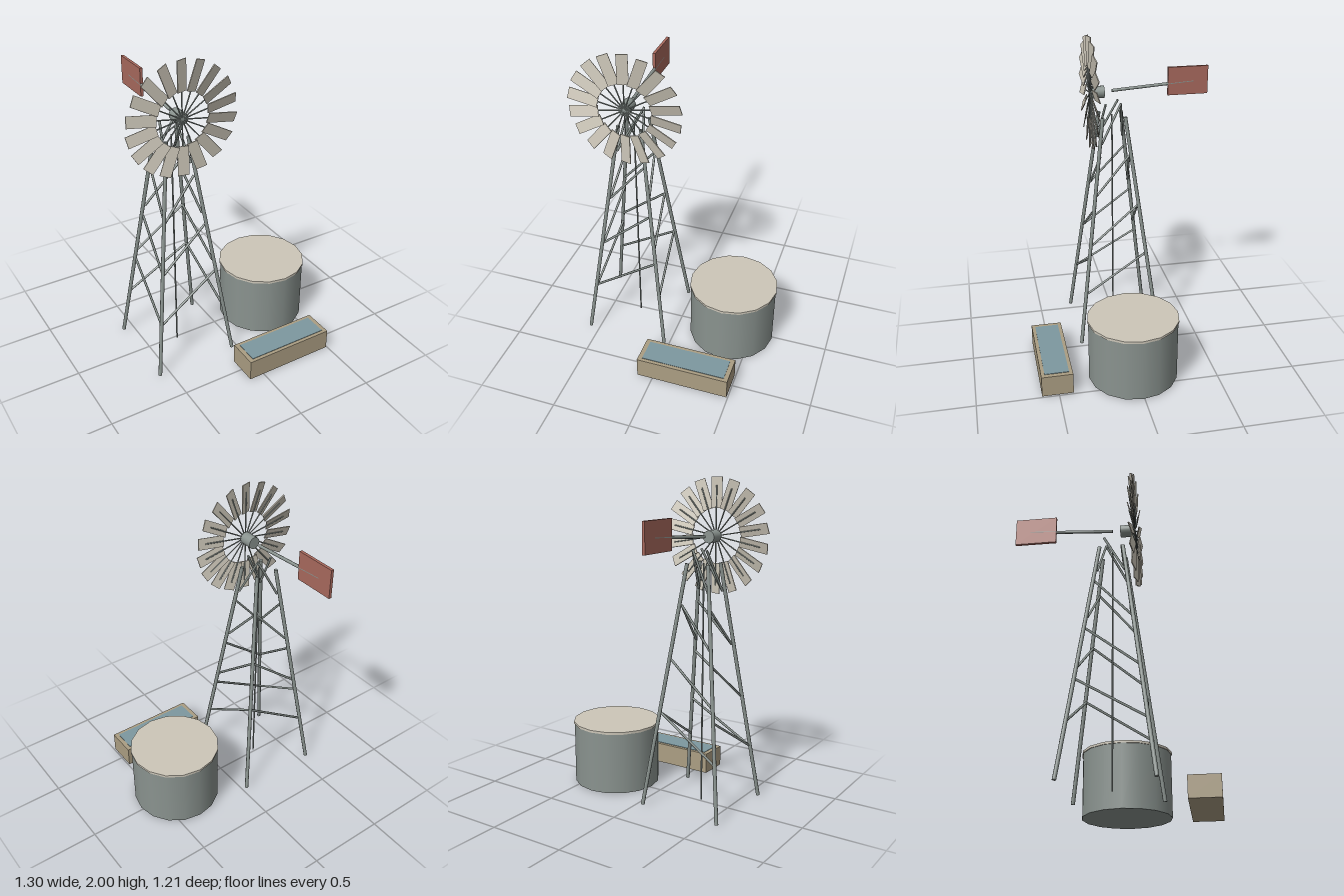
import * as THREE from 'three';

const mat = (color) => new THREE.MeshStandardMaterial({ color });
const CX = -0.3, CZ = 0.015; // tower axis
const WHEEL_Y = 1.65, WHEEL_Z = 0.157;

export function createModel() {
  const metal = mat(0x8a938f), pale = mat(0xcdc7b9), red = mat(0xa8695d);
  const tan = mat(0xab9e83), blue = mat(0x7d98a0);
  const model = new THREE.Group();

  const add = (parent, name, geometry, material, x = 0, y = 0, z = 0) => {
    const mesh = new THREE.Mesh(geometry, material);
    mesh.name = name;
    mesh.position.set(x, y, z);
    parent.add(mesh);
    return mesh;
  };

  // Round bar between two points
  const bar = (parent, name, a, b, r, sides = 8) => {
    const from = new THREE.Vector3(...a), to = new THREE.Vector3(...b);
    const dir = to.clone().sub(from);
    const mesh = add(parent, name, new THREE.CylinderGeometry(r, r, dir.length(), sides), metal);
    mesh.position.copy(from).add(to).multiplyScalar(0.5);
    mesh.quaternion.setFromUnitVectors(new THREE.Vector3(0, 1, 0), dir.normalize());
    return mesh;
  };

  // Tower: four leaning legs with one rising diagonal per bay on each face
  const tower = new THREE.Group();
  tower.name = 'tower';
  tower.position.set(CX, 0, CZ);
  model.add(tower);
  for (const sx of [-1, 1]) for (const sz of [-1, 1]) {
    bar(tower, 'leg', [sx * 0.265, 0, sz * 0.265], [sx * 0.072, 1.5, sz * 0.072], 0.012);
  }
  const braceOffset = (y) => 0.263 - 0.136 * y;
  for (let i = 0; i < 4; i++) {
    const y0 = 0.34 + i * 0.33, y1 = y0 + 0.25;
    const a = braceOffset(y0), b = braceOffset(y1);
    for (const s of [-1, 1]) {
      bar(tower, 'crossBrace', [-a, y0, s * a], [b, y1, s * b], 0.0075, 6);
      bar(tower, 'sideBrace', [s * a, y0, a], [s * b, y1, -b], 0.0075, 6);
    }
  }
  bar(tower, 'pumpRod', [0, 0, 0], [0, 1.5, 0], 0.005, 6);

  // Wheel: pitched blades on thin spokes
  const wheel = new THREE.Group();
  wheel.name = 'wheel';
  wheel.position.set(CX, WHEEL_Y, WHEEL_Z);
  model.add(wheel);
  const bladeGeo = new THREE.BoxGeometry(0.067, 0.185, 0.006);
  for (let i = 0; i < 18; i++) {
    const arm = new THREE.Group();
    arm.name = 'bladeArm';
    arm.rotation.z = (i / 18) * Math.PI * 2;
    wheel.add(arm);
    add(arm, 'blade', bladeGeo, pale, 0, 0.2575, 0).rotation.y = 0.28;
    bar(arm, 'spoke', [0, 0, -0.004], [0, 0.3, -0.004], 0.004, 6);
  }
  add(model, 'hub', new THREE.CylinderGeometry(0.038, 0.038, 0.09, 16), metal,
    CX, WHEEL_Y, 0.11).rotation.x = Math.PI / 2;

  // Tail boom and vane
  bar(model, 'tailBoom', [CX, 1.655, CZ], [CX, 1.69, -0.51], 0.01);
  add(model, 'tailVane', new THREE.BoxGeometry(0.018, 0.18, 0.26), red, CX, 1.695, -0.475);

  // Water tank with lid
  add(model, 'tank', new THREE.CylinderGeometry(0.28, 0.28, 0.4, 16), metal, 0.36, 0.2, CZ);
  add(model, 'tankLid', new THREE.CylinderGeometry(0.285, 0.285, 0.015, 16), pale, 0.36, 0.4055, CZ);

  // Trough and its water
  add(model, 'trough', new THREE.BoxGeometry(0.592, 0.135, 0.194), tan, 0.196, 0.0675, 0.508);
  add(model, 'troughWater', new THREE.BoxGeometry(0.536, 0.01, 0.15), blue, 0.196, 0.133, 0.508);

  return model;
}
